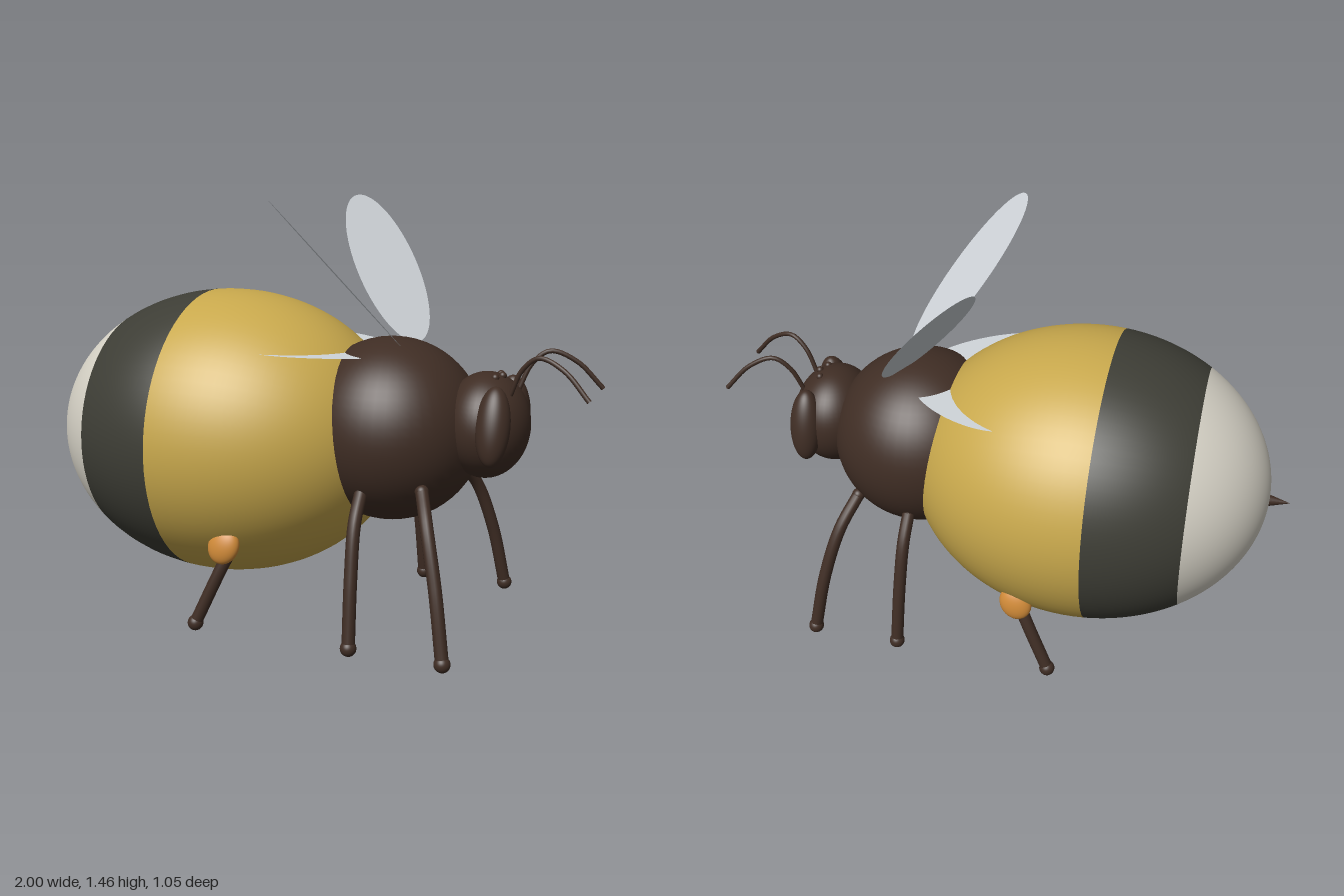
import * as THREE from 'three';

const mat = (name, color, side = THREE.FrontSide) => {
  const m = new THREE.MeshStandardMaterial({ color, side });
  m.name = name;
  return m;
};
const V = (x, y, z) => new THREE.Vector3(x, y, z);

export function createModel() {
  const bee = new THREE.Group();
  bee.name = 'bee';
  const brown = mat('dark brown', 0x3f2d24);
  const yellow = mat('golden yellow', 0xc8a84c);
  const black = mat('charcoal', 0x3d3d35);
  const white = mat('off white', 0xd6d2c6);
  const orange = mat('pollen orange', 0xd08a38);
  const wingMat = mat('pale wing grey', 0xd0d5da, THREE.DoubleSide);

  const add = (name, geometry, material, parent = bee) => {
    const mesh = new THREE.Mesh(geometry, material);
    mesh.name = name;
    parent.add(mesh);
    return mesh;
  };
  const ellipsoid = (name, c, r, material, parent = bee) => {
    const mesh = add(name, new THREE.SphereGeometry(1, 48, 32), material, parent);
    mesh.position.set(...c);
    mesh.scale.set(...r);
    return mesh;
  };

  // Abdomen: one ellipsoid cut into three coloured bands along x
  const abdomen = new THREE.Group();
  abdomen.name = 'abdomen';
  abdomen.position.set(-0.3, 0.622, 0);
  abdomen.scale.set(0.63, 0.508, 0.525);
  bee.add(abdomen);
  const cuts = [0, -0.368, -0.675].map((x, i) => (i ? Math.acos((x + 0.3) / 0.63) : 0));
  cuts.push(Math.PI);
  [['yellowBand', yellow], ['blackBand', black], ['whiteTail', white]].forEach(([name, m], i) => {
    const g = new THREE.SphereGeometry(1, 72, 28, 0, Math.PI * 2, cuts[i], cuts[i + 1] - cuts[i]);
    add(name, g.rotateZ(-Math.PI / 2), m, abdomen);
  });

  // Stinger
  const stinger = add('stinger', new THREE.ConeGeometry(0.025, 0.09, 20), brown);
  stinger.rotation.z = Math.PI / 2;
  stinger.position.set(-0.955, 0.605, 0);

  // Thorax and head
  ellipsoid('thorax', [0.31, 0.678, 0], [0.315, 0.315, 0.315], brown);
  ellipsoid('head', [0.64, 0.717, 0], [0.145, 0.178, 0.175], brown);

  // Three small eyes on top of the head
  for (const [x, y, z] of [[0.69, 0.885, 0], [0.675, 0.883, 0.04], [0.675, 0.883, -0.04]])
    ellipsoid('smallEye', [x, y, z], [0.013, 0.013, 0.013], brown);

  // Flat elliptical wing spanned by a long direction and a cross direction
  const wing = (name, centre, long, cross, a, b, parent) => {
    const x = long.clone().normalize();
    const z = x.clone().cross(cross).normalize();
    const y = z.clone().cross(x);
    const shape = new THREE.Shape().absellipse(0, 0, a, b, 0, Math.PI * 2);
    const g = new THREE.ShapeGeometry(shape, 48);
    g.applyMatrix4(new THREE.Matrix4().makeBasis(x, y, z).setPosition(centre));
    add(name, g, wingMat, parent);
  };

  const tube = (name, points, radius, parent) => {
    const curve = new THREE.CatmullRomCurve3(points);
    add(name, new THREE.TubeGeometry(curve, 24, radius, 14), brown, parent);
  };

  // Leg with rounded hip and foot
  const leg = (name, points, parent) => {
    const g = new THREE.Group();
    g.name = name;
    parent.add(g);
    tube('limb', points, 0.022, g);
    ellipsoid('hip', points[0].toArray(), [0.023, 0.023, 0.023], brown, g);
    ellipsoid('foot', points[points.length - 1].toArray(), [0.027, 0.027, 0.027], brown, g);
  };

  // Everything that comes in left and right pairs
  for (const s of [1, -1]) {
    const half = new THREE.Group();
    half.name = s > 0 ? 'leftParts' : 'rightParts';
    bee.add(half);
    const P = (x, y, z) => V(x, y, z * s);

    const eye = ellipsoid('eye', [0.698, 0.742, 0.146 * s], [0.056, 0.13, 0.052], brown, half);
    eye.rotation.x = -0.24 * s;

    tube('antenna', [P(0.73, 0.83, 0.06), P(0.77, 0.92, 0.072), P(0.825, 0.963, 0.085),
      P(0.91, 0.93, 0.107), P(0.995, 0.842, 0.13)], 0.008, half);

    wing('foreWing', P(0.2, 1.212, 0.242), P(-0.474, 0.716, 0.513), P(0.59, -0.175, 0.79), 0.34, 0.146, half);
    wing('hindWing', P(0.1, 0.948, 0.18), P(-0.85, 0.05, 0.53), P(0.53, -0.02, 0.85), 0.23, 0.1, half);

    leg('frontLeg', [P(0.49, 0.525, 0.22), P(0.535, 0.43, 0.305), P(0.585, 0.25, 0.365), P(0.625, 0.028, 0.405)], half);
    leg('middleLeg', [P(0.292, 0.51, 0.25), P(0.295, 0.42, 0.318), P(0.302, 0.25, 0.367), P(0.31, 0.028, 0.405)], half);
    leg('hindLeg', [P(0.02, 0.52, 0.22), P(-0.065, 0.43, 0.32), P(-0.15, 0.25, 0.375), P(-0.25, 0.028, 0.405)], half);

    const pollen = ellipsoid('pollenBasket', [-0.135, 0.318, 0.41 * s], [0.055, 0.063, 0.03], orange, half);
    pollen.rotation.set(-0.2 * s, 0, -0.4);
  }
  return bee;
}
